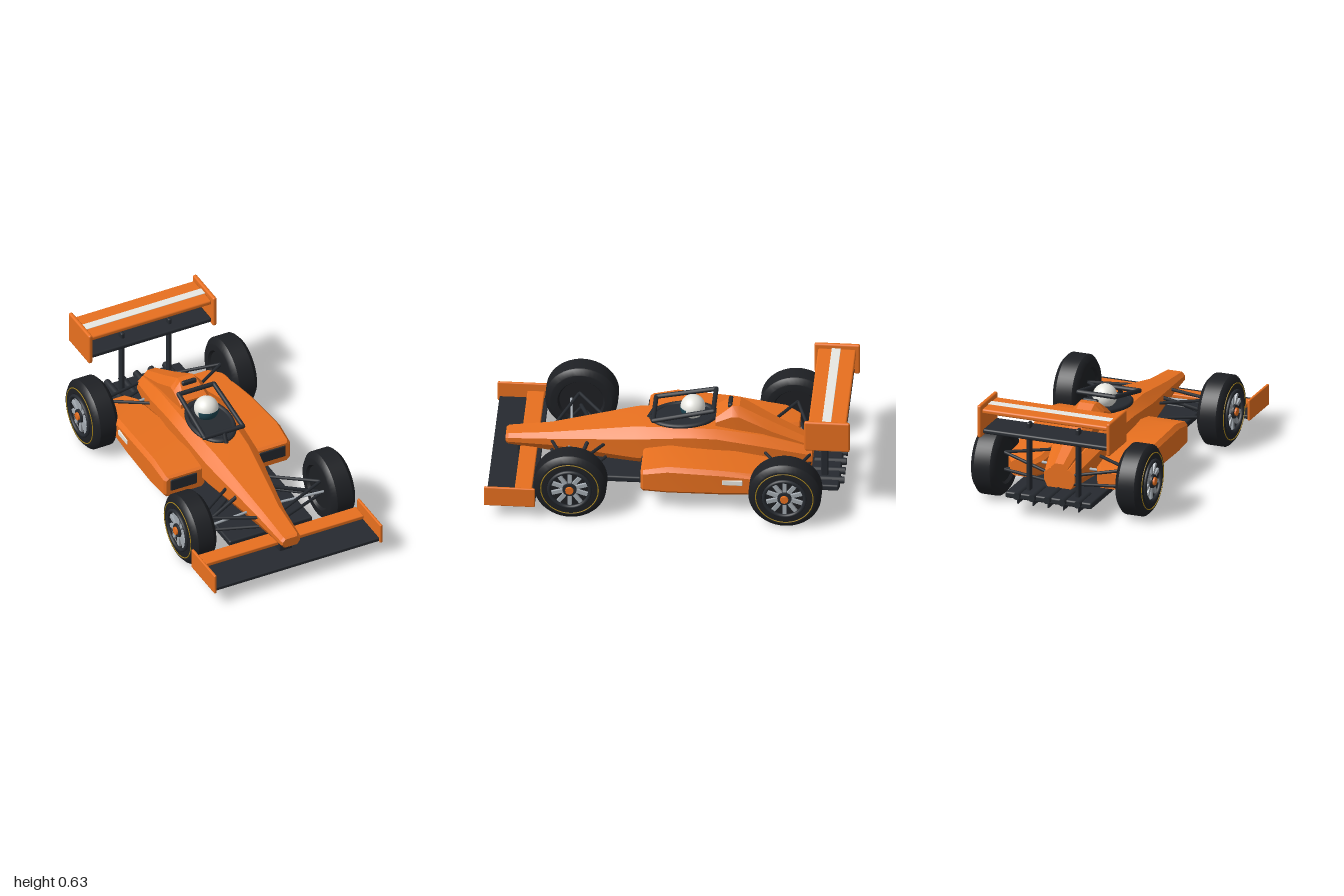
import * as THREE from 'three';
import { toCreasedNormals } from 'three/addons/utils/BufferGeometryUtils.js';
import { RoundedBoxGeometry } from 'three/addons/geometries/RoundedBoxGeometry.js';

const mat = (color) => new THREE.MeshStandardMaterial({ color });
const orange = mat(0xe8701f), dark = mat(0x262a30), tyre = mat(0x1e2024), white = mat(0xe8e8e2);
const visorBlue = mat(0x1d4653), silver = mat(0xa4abb2), gold = mat(0xa8851c);

export function createModel() {
  const model = new THREE.Group();

  function add(name, geometry, material, x = 0, y = 0, z = 0, parent = model) {
    const mesh = new THREE.Mesh(geometry, material);
    mesh.name = name;
    mesh.position.set(x, y, z);
    parent.add(mesh);
    return mesh;
  }

  // Box given by its extents, with softened edges
  function slab(name, material, [x0, x1], [y0, y1], [z0, z1], r = 0.006) {
    const geo = new RoundedBoxGeometry(x1 - x0, y1 - y0, z1 - z0, 2, r);
    return add(name, geo, material, (x0 + x1) / 2, (y0 + y1) / 2, (z0 + z1) / 2);
  }

  // Round bar between two points
  function rod(name, material, a, b, r) {
    const p = new THREE.Vector3(...a), q = new THREE.Vector3(...b);
    const dir = q.clone().sub(p);
    const mesh = add(name, new THREE.CylinderGeometry(r, r, dir.length(), 12), material);
    mesh.position.copy(p).add(q).multiplyScalar(0.5);
    mesh.quaternion.setFromUnitVectors(new THREE.Vector3(0, 1, 0), dir.normalize());
    return mesh;
  }

  // Eight-sided hull through sections, front to back:
  // [z, centreX, bottom half, side half, top half, yBottom, ySideLow, ySideHigh, yTop]
  function hull(name, material, sections, side = 1) {
    const pos = [], index = [], n = 8;
    for (const [z, cx, wb, w, wt, yb, y1, y2, yt] of sections) {
      const half = [[wb, yb], [w, y1], [w, y2], [wt, yt]];
      const ring = [...half, ...half.map(([x, y]) => [-x, y]).reverse()];
      ring.forEach(([x, y]) => pos.push(side * cx + x, y, z));
    }
    const last = (sections.length - 1) * n;
    for (let i = 0; i < last; i += n) {
      for (let j = 0; j < n; j++) {
        const a = i + j, b = i + (j + 1) % n;
        index.push(a, a + n, b, b, a + n, b + n);
      }
    }
    for (let j = 1; j < n - 1; j++) index.push(0, j, j + 1, last, last + j + 1, last + j);
    const geo = new THREE.BufferGeometry();
    geo.setAttribute('position', new THREE.Float32BufferAttribute(pos, 3));
    geo.setIndex(index);
    return add(name, toCreasedNormals(geo, 0.35), material);
  }

  // Main body and nose
  hull('body', orange, [
    [0.915, 0, 0.035, 0.052, 0.035, 0.178, 0.2, 0.215, 0.232],
    [0.9, 0, 0.04, 0.06, 0.042, 0.17, 0.195, 0.22, 0.24],
    [0.67, 0, 0.055, 0.08, 0.05, 0.15, 0.2, 0.24, 0.265],
    [0.2, 0, 0.1, 0.155, 0.1, 0.13, 0.19, 0.31, 0.36],
    [-0.1, 0, 0.11, 0.172, 0.12, 0.12, 0.19, 0.345, 0.378],
    [-0.25, 0, 0.11, 0.172, 0.12, 0.12, 0.19, 0.345, 0.378],
    [-0.5, 0, 0.1, 0.145, 0.09, 0.12, 0.18, 0.29, 0.33],
    [-0.77, 0, 0.07, 0.09, 0.055, 0.13, 0.17, 0.21, 0.24],
  ]);

  // Engine cover with its air intake
  hull('engineCover', orange, [
    [-0.24, 0, 0.09, 0.09, 0.07, 0.3, 0.36, 0.4, 0.42],
    [-0.33, 0, 0.09, 0.09, 0.05, 0.3, 0.36, 0.44, 0.488],
    [-0.37, 0, 0.09, 0.088, 0.045, 0.3, 0.36, 0.44, 0.488],
    [-0.55, 0, 0.075, 0.075, 0.035, 0.25, 0.3, 0.345, 0.385],
    [-0.77, 0, 0.05, 0.05, 0.025, 0.18, 0.21, 0.245, 0.27],
  ]);
  slab('airIntake', dark, [-0.045, 0.045], [0.468, 0.496], [-0.33, -0.305], 0.01);

  // Cockpit opening and rim
  const floorDisc = add('cockpitOpening', new THREE.CylinderGeometry(1, 1, 0.02, 40), dark, 0, 0.378, -0.06);
  floorDisc.scale.set(0.115, 1, 0.18);
  floorDisc.rotation.x = 0.08;
  const rim = add('cockpitRim', new THREE.TorusGeometry(0.115, 0.013, 10, 48).rotateX(Math.PI / 2), dark, 0, 0.384, -0.06);
  rim.scale.z = 1.5;
  rim.rotation.x = 0.08;

  // Driver's helmet with visor
  add('helmet', new THREE.SphereGeometry(0.068, 32, 20), white, 0, 0.442, -0.11);
  add('visor', new THREE.SphereGeometry(0.071, 28, 10, 0.15 * Math.PI, 0.7 * Math.PI, 1.45, 0.75), visorBlue, 0, 0.442, -0.11);

  // Protective frame over the cockpit
  const frame = [[0.118, 0.415, 0.1], [0.108, 0.49, -0.23], [-0.108, 0.49, -0.23], [-0.118, 0.415, 0.1]];
  frame.forEach((p, i) => {
    rod('cockpitFrameBar', dark, p, frame[(i + 1) % 4], 0.013);
    add('cockpitFrameCorner', new THREE.SphereGeometry(0.013, 12, 8), dark, ...p);
  });
  rod('cockpitFramePillar', dark, [0, 0.35, 0.135], [0, 0.415, 0.1], 0.013);

  // Flat floor, rear diffuser and fins
  slab('floor', dark, [-0.255, 0.255], [0.092, 0.128], [-0.93, 0.67], 0.01);
  for (let i = -2; i <= 2; i++) {
    slab('diffuserFin', dark, [i * 0.09 - 0.004, i * 0.09 + 0.004], [0.066, 0.1], [-0.93, -0.7], 0.003);
    rod('diffuserRib', dark, [i * 0.09, 0.118, -0.78], [i * 0.09, 0.118, -0.955], 0.02);
  }

  // Front wing
  slab('frontWing', dark, [-0.505, 0.505], [0.088, 0.11], [0.72, 0.99]);
  slab('frontWingFlap', orange, [-0.487, 0.487], [0.142, 0.166], [0.74, 0.835]);
  slab('noseMount', dark, [-0.04, 0.04], [0.1, 0.19], [0.75, 0.85]);

  // Rear wing
  slab('rearWingLower', dark, [-0.372, 0.372], [0.463, 0.49], [-0.97, -0.77], 0.01);
  slab('rearWingUpper', orange, [-0.372, 0.372], [0.582, 0.61], [-0.98, -0.77], 0.01);
  slab('rearWingStripe', white, [-0.37, 0.37], [0.6, 0.613], [-0.895, -0.845], 0.002);

  // Wheel built along +x with its face outward
  const tyreProfile = [[0, -0.06], [0.12, -0.06], [0.13, -0.075], [0.168, -0.075], [0.172, -0.074], [0.197, -0.052],
    [0.2, -0.047], [0.2, 0.047], [0.197, 0.052], [0.172, 0.074], [0.168, 0.075], [0.125, 0.075], [0.115, 0.06], [0, 0.06]];
  const tyreGeo = toCreasedNormals(
    new THREE.LatheGeometry(tyreProfile.map(([r, t]) => new THREE.Vector2(r, t)), 48), 0.5);
  function wheel(name, side, z) {
    const g = new THREE.Group();
    g.name = name;
    g.position.set(side * 0.427, 0.2, z);
    if (side < 0) g.rotation.y = Math.PI;
    model.add(g);
    add('tyre', tyreGeo, tyre, 0, 0, 0, g).rotation.z = -Math.PI / 2;
    add('tyreRing', new THREE.TorusGeometry(0.158, 0.003, 6, 64), gold, 0.076, 0, 0, g).rotation.y = Math.PI / 2;
    add('rim', new THREE.TorusGeometry(0.113, 0.011, 8, 48), dark, 0.078, 0, 0, g).rotation.y = Math.PI / 2;
    for (let i = 0; i < 10; i++) {
      const a = (i * Math.PI) / 5;
      const spoke = add('spoke', new THREE.BoxGeometry(0.016, 0.08, 0.022), silver,
        0.066, 0.066 * Math.cos(a), 0.066 * Math.sin(a), g);
      spoke.rotation.x = a;
    }
    add('hub', new THREE.CylinderGeometry(0.038, 0.042, 0.03, 24), dark, 0.07, 0, 0, g).rotation.z = -Math.PI / 2;
    add('wheelNut', new THREE.CylinderGeometry(0.022, 0.025, 0.035, 16), orange, 0.078, 0, 0, g).rotation.z = -Math.PI / 2;
  }

  for (const s of [1, -1]) {
    const span = (a, b) => (s > 0 ? [a, b] : [-b, -a]);
    wheel('frontWheel', s, 0.53);
    wheel('rearWheel', s, -0.65);

    // Sidepods with front inlets and side stripe
    hull('sidepod', orange, [
      [0.15, 0.262, 0.1, 0.115, 0.1, 0.135, 0.15, 0.235, 0.25],
      [0.135, 0.262, 0.11, 0.127, 0.11, 0.125, 0.145, 0.24, 0.26],
      [0, 0.265, 0.11, 0.13, 0.11, 0.12, 0.14, 0.265, 0.29],
      [-0.3, 0.262, 0.11, 0.126, 0.105, 0.12, 0.14, 0.25, 0.272],
      [-0.6, 0.262, 0.09, 0.108, 0.085, 0.12, 0.14, 0.215, 0.238],
      [-0.68, 0.257, 0.05, 0.065, 0.045, 0.13, 0.145, 0.205, 0.22],
    ], s);
    slab('sidepodInlet', dark, span(0.19, 0.355), [0.165, 0.238], [0.13, 0.156], 0.008);
    slab('sideStripe', white, span(0.376, 0.391), [0.193, 0.224], [-0.41, -0.3], 0.003);

    // Wing end plates and pylons
    slab('frontEndPlate', orange, span(0.502, 0.518), [0.08, 0.2], [0.72, 1.0]);
    slab('rearEndPlate', orange, span(0.37, 0.394), [0.447, 0.635], [-1.0, -0.75], 0.01);
    slab('rearWingPylon', dark, span(0.134, 0.156), [0.11, 0.522], [-0.865, -0.825], 0.008);

    // Front suspension
    rod('frontUpperArm', dark, [s * 0.37, 0.245, 0.54], [s * 0.11, 0.25, 0.36], 0.009);
    rod('frontUpperArm', dark, [s * 0.37, 0.245, 0.54], [s * 0.07, 0.225, 0.66], 0.009);
    rod('frontLowerArm', dark, [s * 0.37, 0.15, 0.53], [s * 0.12, 0.165, 0.36], 0.009);
    rod('frontLowerArm', dark, [s * 0.37, 0.15, 0.53], [s * 0.07, 0.165, 0.66], 0.009);
    rod('frontPushrod', dark, [s * 0.36, 0.17, 0.53], [s * 0.1, 0.25, 0.46], 0.011);
    rod('frontTieRod', silver, [s * 0.37, 0.207, 0.585], [s * 0.07, 0.207, 0.56], 0.007);

    // Rear suspension
    rod('rearUpperArm', dark, [s * 0.37, 0.25, -0.66], [s * 0.11, 0.25, -0.5], 0.009);
    rod('rearUpperArm', dark, [s * 0.37, 0.25, -0.66], [s * 0.08, 0.21, -0.76], 0.009);
    rod('rearLowerArm', dark, [s * 0.37, 0.15, -0.66], [s * 0.1, 0.16, -0.5], 0.009);
    rod('rearLowerArm', dark, [s * 0.37, 0.15, -0.66], [s * 0.08, 0.16, -0.76], 0.009);
    rod('rearDriveShaft', silver, [s * 0.37, 0.205, -0.6], [s * 0.1, 0.205, -0.62], 0.008);
  }
  return model;
}
